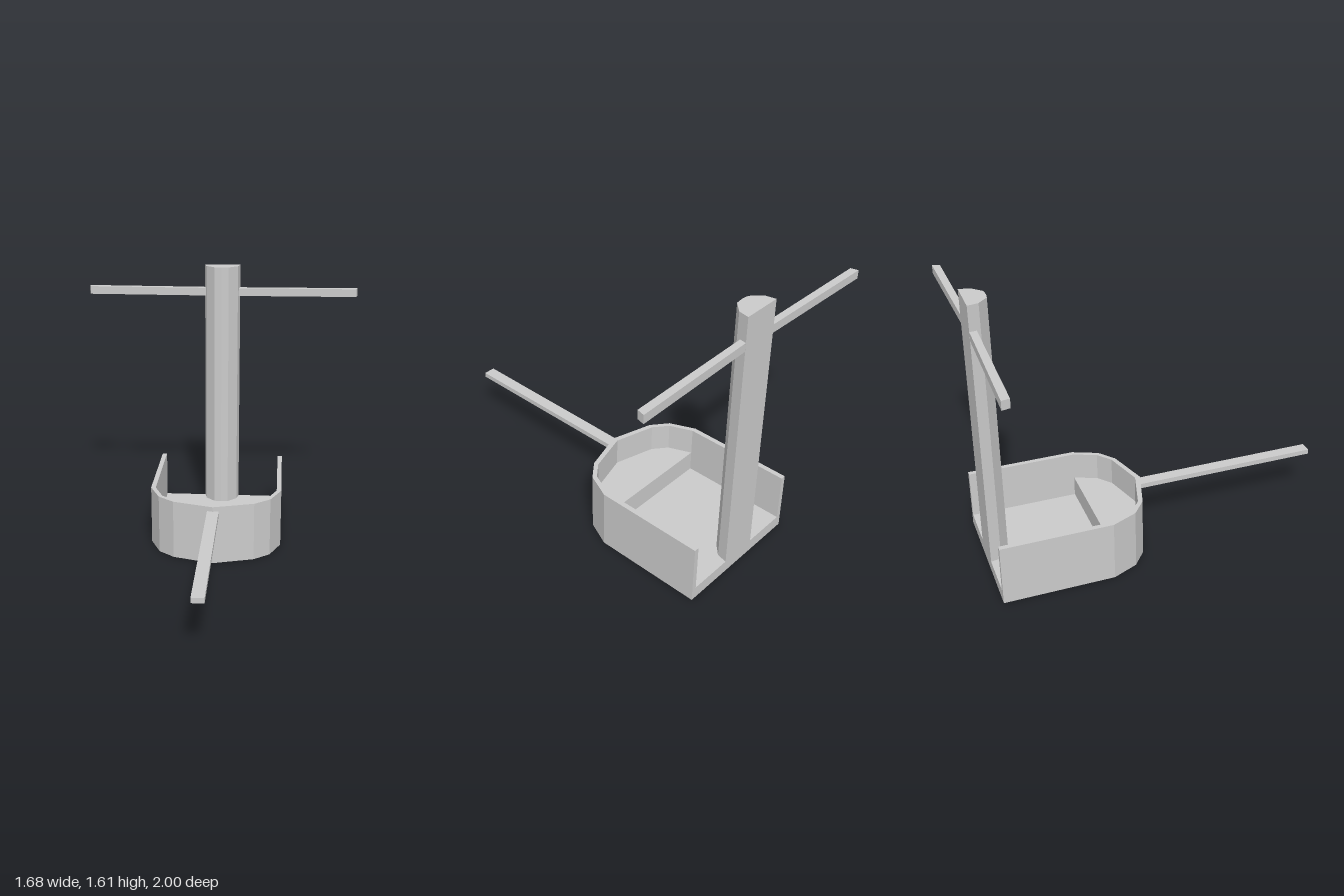
import * as THREE from 'three';

const material = new THREE.MeshStandardMaterial({ color: 0xcccccc, flatShading: true });

// Vertical prism from a plan outline of [x, z] points, between heights y0 and y1
function prism(name, outline, y0, y1) {
  const shape = new THREE.Shape(outline.map(([x, z]) => new THREE.Vector2(x, -z)));
  const geometry = new THREE.ExtrudeGeometry(shape, { depth: y1 - y0, bevelEnabled: false });
  geometry.rotateX(-Math.PI / 2).translate(0, y0, 0);
  const mesh = new THREE.Mesh(geometry, material);
  mesh.name = name;
  return mesh;
}

// Complete a half outline (ending at the centre line when x = 0) by mirroring it in x
function mirrored(half) {
  const other = half.filter(([x]) => x > 0).reverse().map(([x, z]) => [-x, z]);
  return [...half, ...other];
}

export function createModel() {
  const group = new THREE.Group();
  group.name = 'tubWithMast';
  const back = -0.985;

  // Tub: a U-shaped wall, open at the back
  const outer = mirrored([[0.393, back], [0.393, -0.36], [0.33, -0.215], [0.237, -0.14], [0, -0.07]]);
  const innerHalf = [[0.365, -0.36], [0.31, -0.23], [0.23, -0.165], [0, -0.1]];
  const inner = mirrored([[0.365, back], ...innerHalf]);
  group.add(prism('tubWall', [...outer, ...inner.slice().reverse()], 0, 0.353));

  // Low floor at the back and a raised step in the rounded front
  group.add(prism('floor', mirrored([[0.365, back], [0.365, -0.36]]), 0, 0.07));
  group.add(prism('raisedFrontFloor', mirrored(innerHalf), 0, 0.19));

  // Half-round mast with a flat back
  const mast = mirrored([[0.11, back], [0.098, -0.925], [0.043, -0.872], [0, -0.867]]);
  group.add(prism('mast', mast, 0.07, 1.605));

  // Crossbar arms, swept slightly backwards
  for (const side of [1, -1]) {
    const arm = [[0.1, -0.984], [0.84, -1], [0.83, -0.957], [0.1, -0.946]].map(([x, z]) => [side * x, z]);
    group.add(prism(side > 0 ? 'leftArm' : 'rightArm', arm, 1.417, 1.465));
  }

  // Long handle at the front
  group.add(prism('handle', mirrored([[0.034, -0.085], [0.034, 1]]), 0.296, 0.325));
  return group;
}
